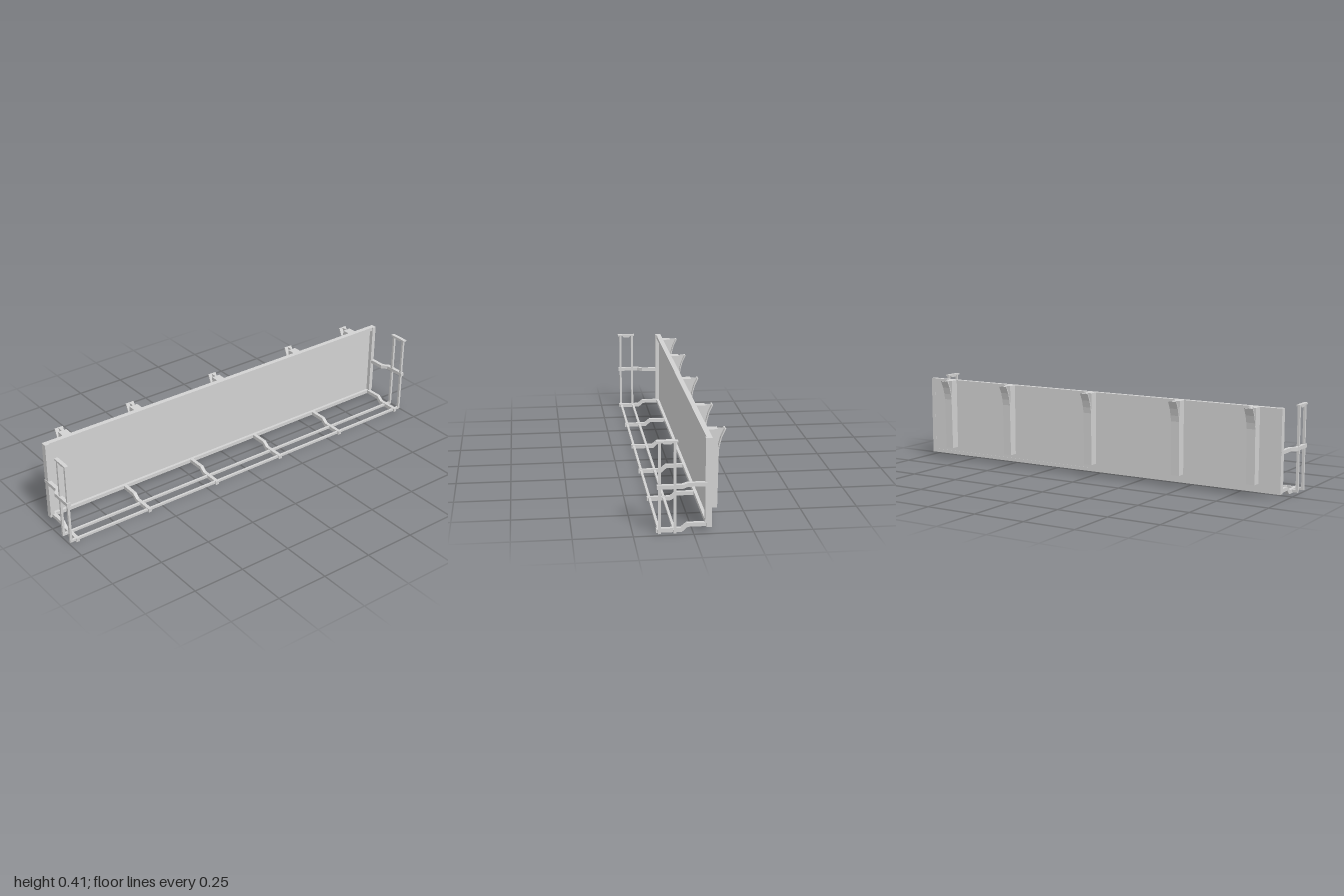
import * as THREE from 'three';

const steel = new THREE.MeshStandardMaterial({ color: 0xd2d2d2 });
steel.name = 'light grey steel';

export function createModel() {
  const model = new THREE.Group();
  model.name = 'wallRack';

  const add = (name, geometry, x = 0, y = 0, z = 0) => {
    const mesh = new THREE.Mesh(geometry, steel);
    mesh.name = name;
    mesh.position.set(x, y, z);
    model.add(mesh);
  };
  // Box given by its limits on each axis
  const box = (name, x0, x1, y0, y1, z0, z1) =>
    add(name, new THREE.BoxGeometry(x1 - x0, y1 - y0, z1 - z0),
      (x0 + x1) / 2, (y0 + y1) / 2, (z0 + z1) / 2);
  const extrude = (points, depth) => {
    const shape = new THREE.Shape(points.map(([a, b]) => new THREE.Vector2(a, b)));
    return new THREE.ExtrudeGeometry(shape, { depth, bevelEnabled: false })
      .translate(0, 0, -depth / 2);
  };
  // Profile in (z, y), extruded across x
  const sidePlate = (name, points, width, x) =>
    add(name, extrude(points, width).rotateY(-Math.PI / 2), x);

  // Back panel: thin sheet inside a frame
  box('panelSheet', -0.965, 0.965, 0.03, 0.4, -0.078, -0.069);
  box('bottomFrameRail', -0.977, 0.977, 0.021, 0.038, -0.0785, -0.055);
  box('topFrameRail', -0.958, 0.958, 0.387, 0.405, -0.0785, -0.055);
  for (const s of [-1, 1]) {
    const inner = s * 0.957, outer = s * 0.977;
    box('sideFramePost', Math.min(inner, outer), Math.max(inner, outer), 0.038, 0.405, -0.0785, -0.05);
  }

  // Stepped brackets under the tray
  const step = [[0.153, 0], [0.153, 0.018], [0.05, 0.018], [0.025, 0.038],
    [-0.0785, 0.038], [-0.0785, 0.021], [0.021, 0.021], [0.045, 0]];
  for (let i = 0; i < 6; i++) {
    sidePlate('trayBracket', step, 0.017, -0.958 + i * 0.3832);
  }

  // Long tray rails
  for (const z of [0.1415, 0.078]) {
    box('trayRail', -0.995, 0.995, 0.005, 0.016, z - 0.0055, z + 0.0055);
  }

  // End gates: two posts, a cap, a gusset and a joggled arm to the panel
  for (const s of [-1, 1]) {
    const x = s * 0.9895;
    for (const z of [0.1415, 0.078]) {
      box('gatePost', x - 0.0055, x + 0.0055, 0.005, 0.398, z - 0.0055, z + 0.0055);
    }
    box('gateCap', x - 0.009, x + 0.009, 0.397, 0.405, 0.065, 0.155);
    sidePlate('gateGusset', [[0.133, 0.398], [0.123, 0.389], [0.094, 0.389], [0.084, 0.398]], 0.01, x);
    const arm = [[1, 0.153], [0.982, 0.153], [0.982, 0.05], [0.961, 0.025],
      [0.961, -0.0785], [0.979, -0.0785], [0.979, 0.021], [1, 0.045]]
      .map(([a, b]) => [s * a, b]);
    add('gateArm', extrude(arm, 0.017).rotateX(Math.PI / 2), 0, 0.2085);
  }

  // Rear hangers: post with a flared hook strip and a thin web between
  const post = [[-0.078, 0.06], [-0.118, 0.06], [-0.1215, 0.25], [-0.1225, 0.31],
    [-0.118, 0.322], [-0.118, 0.405], [-0.078, 0.405]];
  const outerCurve = [[-0.1225, 0.31], [-0.127, 0.338], [-0.136, 0.371], [-0.1525, 0.405]];
  const innerCurve = [[-0.1465, 0.405], [-0.131, 0.372], [-0.123, 0.342], [-0.118, 0.32]];
  const web = [[-0.1175, 0.322], ...innerCurve.slice(0, 3).reverse(), [-0.1175, 0.405]];
  for (const x of [-0.85, -0.472, 0, 0.472, 0.836]) {
    sidePlate('hangerPost', post, 0.042, x);
    sidePlate('hangerHook', [...outerCurve, ...innerCurve], 0.042, x);
    sidePlate('hangerWeb', web, 0.005, x);
  }

  return model;
}
